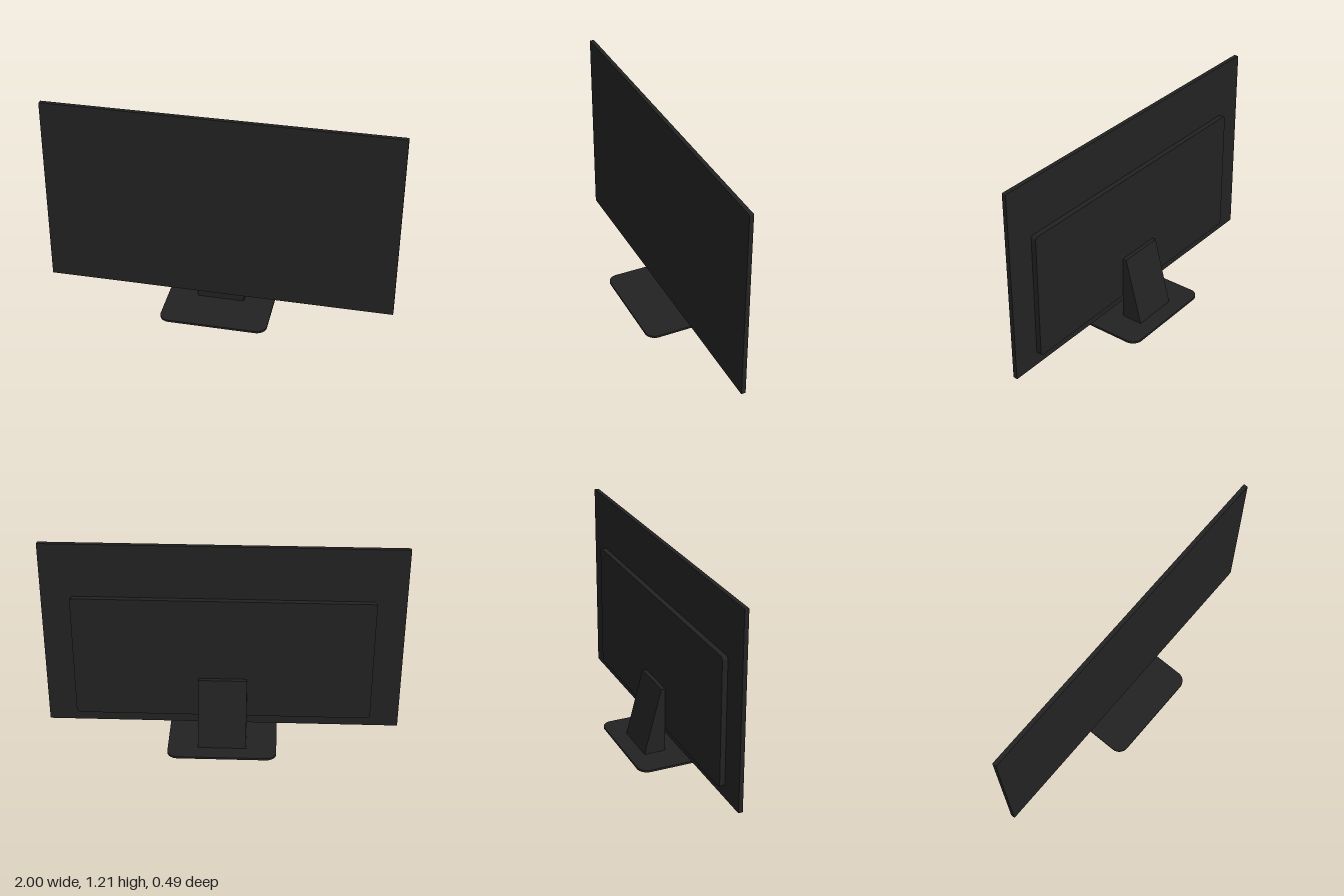
import * as THREE from 'three';

// Rounded rectangle outline centred on the origin
function roundedRect(w, h, r) {
  const x = w / 2, y = h / 2;
  const s = new THREE.Shape();
  s.moveTo(-x + r, -y);
  s.lineTo(x - r, -y);
  s.absarc(x - r, -y + r, r, -Math.PI / 2, 0);
  s.lineTo(x, y - r);
  s.absarc(x - r, y - r, r, 0, Math.PI / 2);
  s.lineTo(-x + r, y);
  s.absarc(-x + r, y - r, r, Math.PI / 2, Math.PI);
  s.lineTo(-x, -y + r);
  s.absarc(-x + r, -y + r, r, Math.PI, Math.PI * 1.5);
  return s;
}

function slab(shape, depth) {
  return new THREE.ExtrudeGeometry(shape, { depth, bevelEnabled: false, curveSegments: 10 });
}

export function createModel() {
  const group = new THREE.Group();
  const black = new THREE.MeshStandardMaterial({ name: 'matte black', color: 0x222222 });

  function add(name, geometry, x, y, z) {
    const mesh = new THREE.Mesh(geometry, black);
    mesh.name = name;
    mesh.position.set(x, y, z);
    group.add(mesh);
    return mesh;
  }

  // Thin display panel
  add('displayPanel', slab(roundedRect(2, 1.126, 0.005), 0.024), 0, 0.65, 0.005);

  // Electronics housing on the back
  add('backHousing', slab(roundedRect(1.676, 0.742, 0.02), 0.031), 0, 0.525, -0.025);

  // Tapered stand neck, drawn in side profile and extruded across x
  const profile = new THREE.Shape([
    new THREE.Vector2(0.025, 0.01),
    new THREE.Vector2(0.151, 0.01),
    new THREE.Vector2(0.048, 0.4),
    new THREE.Vector2(0.025, 0.4),
  ]);
  const neck = add('standNeck', slab(profile, 0.272), -0.136, 0, 0);
  neck.rotation.y = Math.PI / 2;

  // Flat base plate with rounded corners
  const base = add('standBase', slab(roundedRect(0.618, 0.486, 0.06), 0.012), 0, 0, 0);
  base.rotation.x = -Math.PI / 2;

  return group;
}
